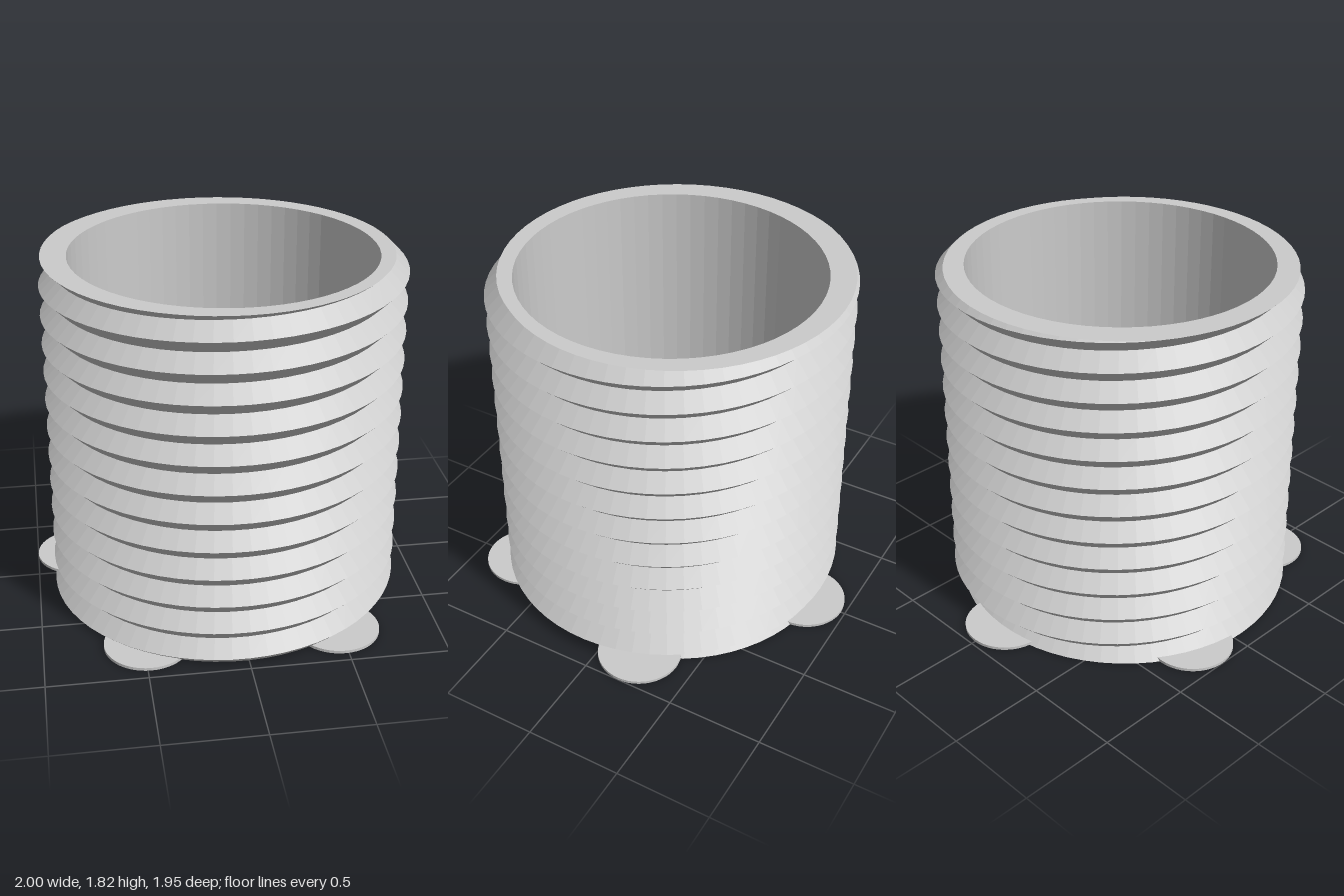
import * as THREE from 'three';

const HEIGHT = 1.82, PITCH = 0.1525, SEGMENTS = 64;
const CREST = 0.912, ROOT = 0.836, BORE = 0.77, CENTRE_Z = 0.062;
const material = new THREE.MeshStandardMaterial({ color: 0xcccccc, flatShading: true });

// Height of the lowest crest at angle t, measured from +z towards +x
const crestHeight = (t) => 0.042 + PITCH * t / (2 * Math.PI);

// V-shaped thread radius at angle t and height y
function threadRadius(t, y) {
  const turns = (y - crestHeight(t)) / PITCH;
  const distance = Math.abs(turns - Math.round(turns)) * 2;
  return CREST + (ROOT - CREST) * distance;
}

// Closed wall section at angle t: thread outside, smooth bore inside
function wallSection(t) {
  const section = [[BORE, 0]];
  for (let k = -3; k <= 24; k++) {
    const y = THREE.MathUtils.clamp(crestHeight(t) + k * PITCH / 2, 0, HEIGHT);
    section.push([threadRadius(t, y), y]);
  }
  section.push([BORE, HEIGHT], [BORE, 0]);
  return section.map(([r, y]) => new THREE.Vector3(r * Math.sin(t), y, r * Math.cos(t)));
}

// Threaded tube, its helix cut flat at both ends
function threadedTubeGeometry() {
  const positions = [];
  const triangle = new THREE.Triangle();
  const addTriangle = (a, b, c) => {
    if (triangle.set(a, b, c).getArea() < 1e-8) return;
    for (const p of [a, b, c]) positions.push(p.x, p.y, p.z);
  };
  for (let i = 0; i < SEGMENTS; i++) {
    const a = wallSection(i / SEGMENTS * 2 * Math.PI);
    const b = wallSection((i + 1) / SEGMENTS * 2 * Math.PI);
    for (let k = 0; k < a.length - 1; k++) {
      addTriangle(a[k], b[k], b[k + 1]);
      addTriangle(a[k], b[k + 1], a[k + 1]);
    }
  }
  const geometry = new THREE.BufferGeometry();
  geometry.setAttribute('position', new THREE.Float32BufferAttribute(positions, 3));
  geometry.computeVertexNormals();
  return geometry;
}

export function createModel() {
  const model = new THREE.Group();
  model.name = 'threadedSleeve';

  const tube = new THREE.Mesh(threadedTubeGeometry(), material);
  tube.name = 'threadedTube';
  tube.position.z = CENTRE_Z;
  model.add(tube);

  // Five thin round pads under the rim
  const padGeometry = new THREE.CylinderGeometry(0.217, 0.217, 0.015, 48);
  for (let i = 0; i < 5; i++) {
    const angle = Math.PI + i * 2 * Math.PI / 5;
    const pad = new THREE.Mesh(padGeometry, material);
    pad.name = 'basePad' + (i + 1);
    pad.position.set(0.823 * Math.sin(angle), 0.0075, CENTRE_Z + 0.823 * Math.cos(angle));
    model.add(pad);
  }
  return model;
}
